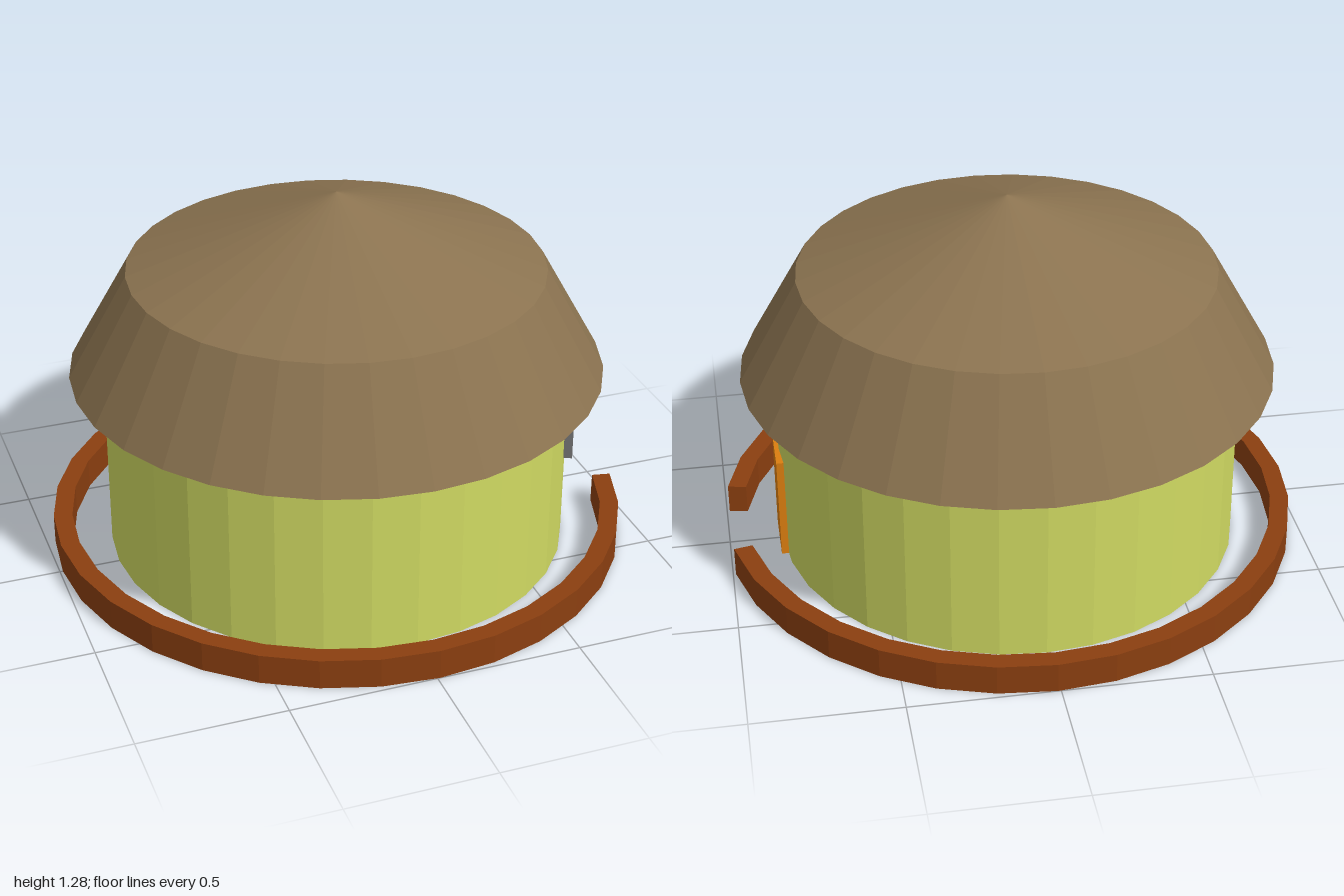
import * as THREE from 'three';

const SIDES = 32;

function makeMaterial(name, color) {
  const material = new THREE.MeshStandardMaterial({ color, flatShading: true });
  material.name = name;
  return material;
}

export function createModel() {
  const hut = new THREE.Group();
  hut.name = 'roundHut';

  const plaster = makeMaterial('limePlaster', 0xd0da62);
  const thatch = makeMaterial('brownThatch', 0x8b7350);
  const clay = makeMaterial('redBrownClay', 0x8b3f10);
  const wood = makeMaterial('orangeWood', 0xdb7e10);
  const slate = makeMaterial('greyShutter', 0x747474);

  function add(name, geometry, material, x, y, z) {
    const mesh = new THREE.Mesh(geometry, material);
    mesh.name = name;
    mesh.position.set(x, y, z);
    hut.add(mesh);
    return mesh;
  }

  // Round wall
  add('wall', new THREE.CylinderGeometry(0.8, 0.8, 0.65, SIDES), plaster, 0, 0.325, 0);

  // Two-pitch roof: steep eaves below a shallow cone
  add('roofEaves', new THREE.CylinderGeometry(0.71, 0.915, 0.365, SIDES), thatch, 0, 0.8325, 0);
  add('roofCone', new THREE.ConeGeometry(0.71, 0.265, SIDES, 1, true), thatch, 0, 1.1475, 0);

  // Low ring fence, open in front of the door
  const outline = [];
  const step = (Math.PI * 2) / SIDES;
  const corner = (radius, i) =>
    outline.push(new THREE.Vector2(radius * Math.cos(i * step), radius * Math.sin(i * step)));
  for (let i = 1; i < SIDES; i++) corner(1, i);
  for (let i = SIDES - 1; i > 0; i--) corner(0.935, i);
  const fence = new THREE.ExtrudeGeometry(new THREE.Shape(outline), { depth: 0.105, bevelEnabled: false });
  fence.rotateX(-Math.PI / 2);
  add('fence', fence, clay, 0, 0, 0);

  // Door
  add('door', new THREE.BoxGeometry(0.04, 0.375, 0.2), wood, 0.795, 0.1875, 0);

  // Window, turned to follow the wall
  const turn = THREE.MathUtils.degToRad(25);
  const window = add('window', new THREE.BoxGeometry(0.03, 0.175, 0.177), slate,
    0.755 - 0.015 * Math.cos(turn), 0.43, 0.33 - 0.015 * Math.sin(turn));
  window.rotation.y = -turn;

  // Centre the open ring on x = 0
  hut.children.forEach((part) => { part.position.x += 0.01; });
  return hut;
}
